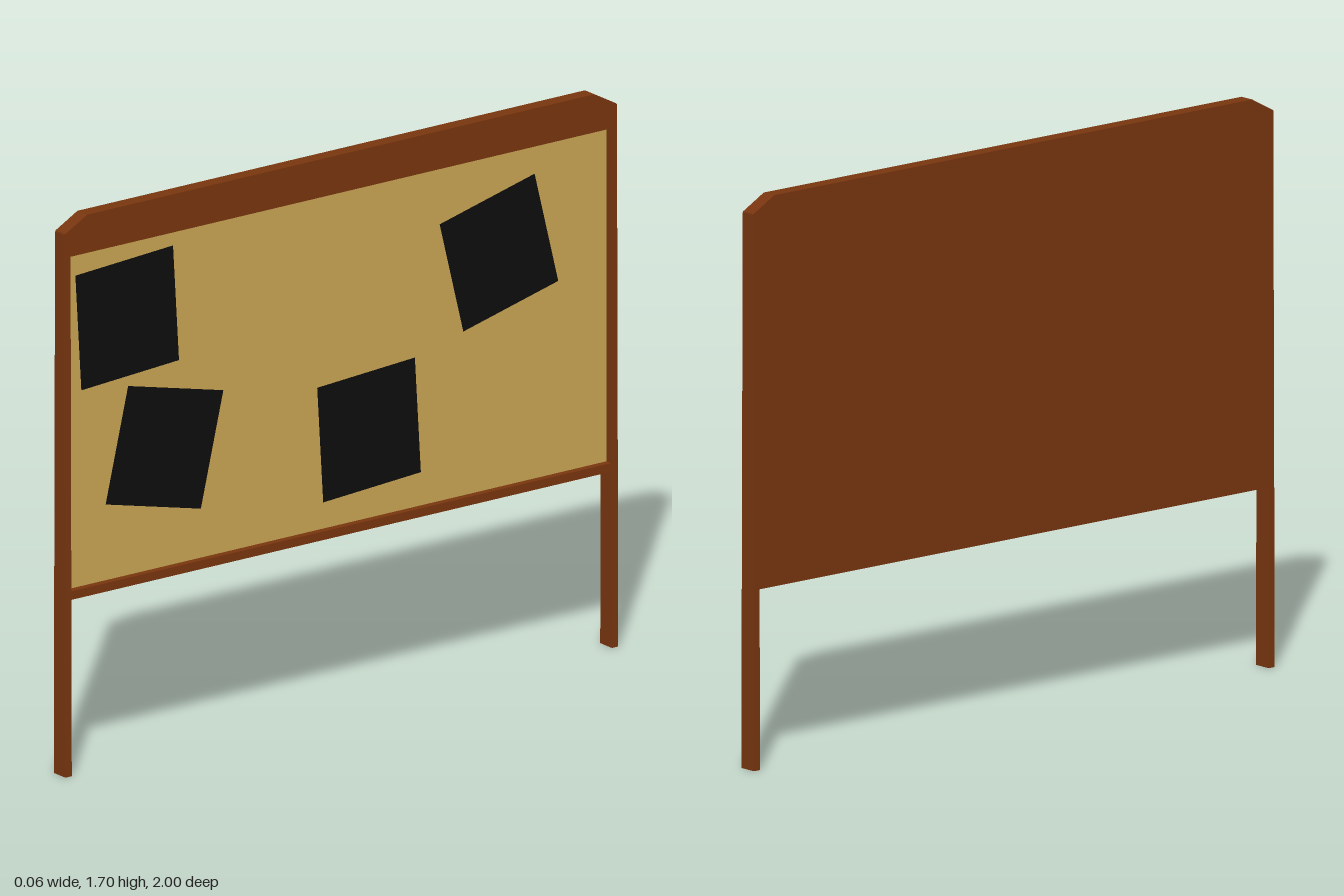
import * as THREE from 'three';

const wood = new THREE.MeshStandardMaterial({ color: 0x78350f });
const cork = new THREE.MeshStandardMaterial({ color: 0xcaa654 });
const paper = new THREE.MeshStandardMaterial({ color: 0x0d0d0d, side: THREE.DoubleSide });

export function createModel() {
  const model = new THREE.Group();

  const add = (name, geometry, material, x, y, z) => {
    const mesh = new THREE.Mesh(geometry, material);
    mesh.name = name;
    mesh.position.set(x, y, z);
    model.add(mesh);
    return mesh;
  };

  // Two posts, slightly thinner towards the top
  const postHeight = 1.65;
  for (const side of [1, -1]) {
    const post = new THREE.BoxGeometry(0.056, postHeight, 0.023);
    const p = post.attributes.position;
    for (let i = 0; i < p.count; i++) {
      if (p.getY(i) > 0) p.setX(i, p.getX(i) * 0.78);
    }
    post.computeVertexNormals();
    add(side > 0 ? 'leftPost' : 'rightPost', post, wood, 0, postHeight / 2, side * 0.9885);
  }

  // Top beam with sloped corners, drawn along its length and turned to face +x
  const outline = new THREE.Shape([
    [-0.998, 1.58], [0.998, 1.58], [0.998, 1.652], [0.918, 1.696], [-0.918, 1.696], [-0.998, 1.652],
  ].map(([u, v]) => new THREE.Vector2(u, v)));
  const beam = new THREE.ExtrudeGeometry(outline, { depth: 0.046, bevelEnabled: false });
  beam.rotateY(Math.PI / 2);
  add('topBeam', beam, wood, -0.023, 0, 0);

  // Bottom rail, wooden backing and recessed cork
  add('bottomRail', new THREE.BoxGeometry(0.046, 0.026, 1.956), wood, 0, 0.548, 0);
  add('backPanel', new THREE.BoxGeometry(0.018, 1.04, 1.956), wood, -0.014, 1.07, 0);
  add('corkBoard', new THREE.BoxGeometry(0.006, 1.03, 1.956), cork, -0.002, 1.07, 0);

  // Square sheets pinned at odd angles: z, y, tilt in degrees
  const sheets = [
    [0.76, 1.346, 3.5],
    [0.625, 0.925, -13.3],
    [-0.115, 0.83, 3.5],
    [-0.585, 1.276, 14],
  ];
  sheets.forEach(([z, y, tilt], i) => {
    const sheet = add(`paperSheet${i + 1}`, new THREE.PlaneGeometry(0.354, 0.354), paper, 0.006, y, z);
    sheet.rotation.set(0, Math.PI / 2, THREE.MathUtils.degToRad(tilt));
  });

  return model;
}
